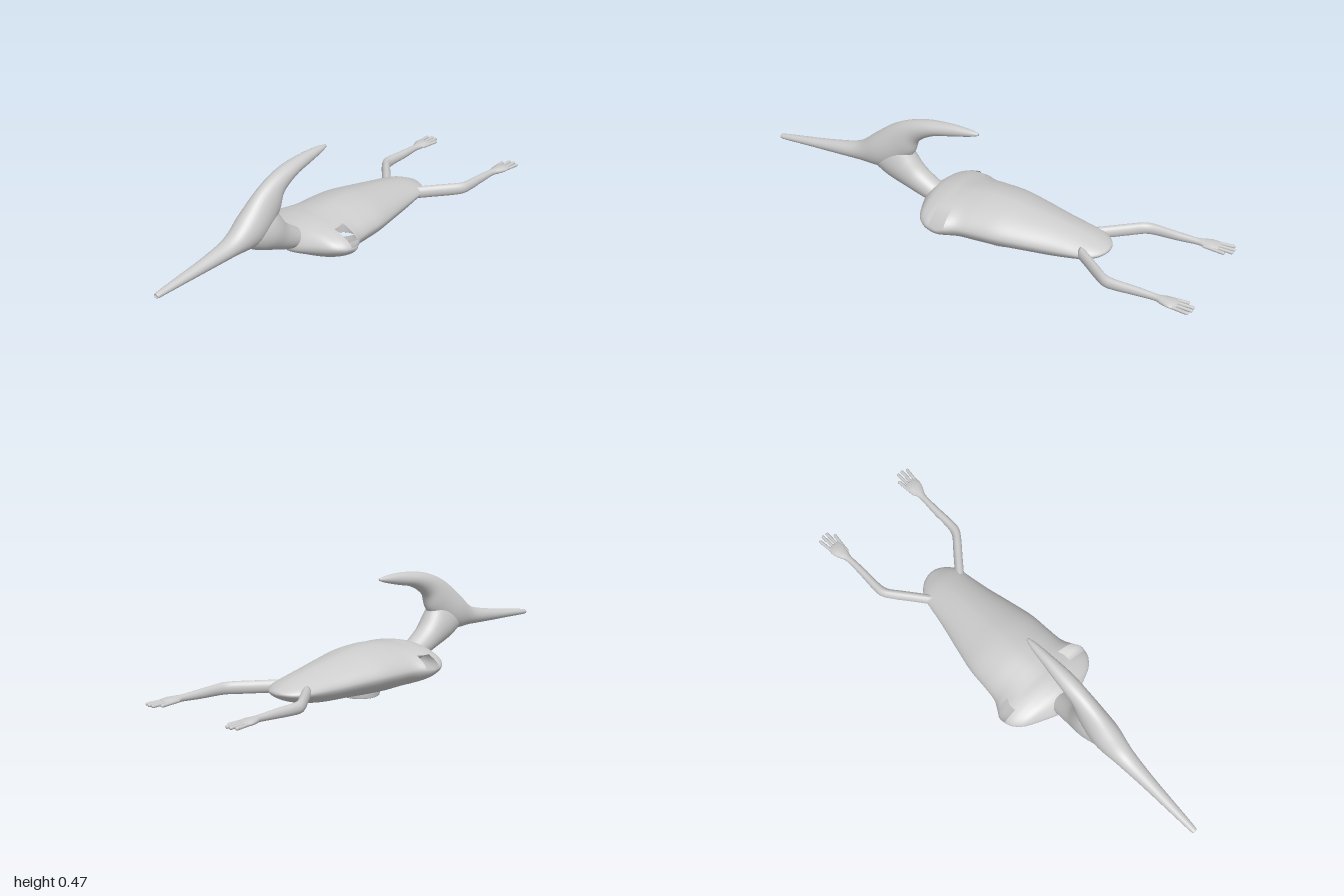
import * as THREE from 'three';

const grey = new THREE.MeshStandardMaterial({ color: 0xcccccc, side: THREE.DoubleSide });

function add(parent, name, geometry) {
  const mesh = new THREE.Mesh(geometry, grey);
  mesh.name = name;
  parent.add(mesh);
  return mesh;
}

// Smooth skin over stations [topX, topY, bottomX, bottomY, halfWidth, centreZ].
// power shapes the section (1 = ellipse, above 1 = lens); skip(x, y, z, j) leaves openings.
function loft(stations, { sides = 32, steps = 6, power = 1, skip = () => false } = {}) {
  const curve = (pick) => new THREE.CatmullRomCurve3(
    stations.map((s) => new THREE.Vector3(...pick(s))), false, 'catmullrom', 0.5);
  const tops = curve((s) => [s[0], s[1], s[4]]);
  const bottoms = curve((s) => [s[2], s[3], s[5] || 0]);
  const rings = (stations.length - 1) * steps;
  const bend = (v) => Math.sign(v) * Math.abs(v) ** power;
  const pos = [], index = [];
  for (let i = 0; i <= rings; i++) {
    const a = tops.getPoint(i / rings), b = bottoms.getPoint(i / rings);
    for (let j = 0; j < sides; j++) {
      const t = (j / sides) * Math.PI * 2;
      const u = 0.5 + 0.5 * bend(Math.sin(t));
      pos.push(b.x + (a.x - b.x) * u, b.y + (a.y - b.y) * u, b.z + a.z * bend(Math.cos(t)));
    }
  }
  for (let i = 0; i < rings; i++) {
    for (let j = 0; j < sides; j++) {
      const p = i * sides + j, q = i * sides + (j + 1) % sides;
      const r = p + sides, s = q + sides;
      const mid = [0, 1, 2].map((k) => (pos[3 * p + k] + pos[3 * q + k] + pos[3 * r + k] + pos[3 * s + k]) / 4);
      if (!skip(...mid, j)) index.push(p, r, s, p, s, q);
    }
  }
  // Closed ends
  for (const end of [0, rings]) {
    const c = pos.length / 3, sum = [0, 0, 0];
    for (let j = 0; j < sides; j++) for (let k = 0; k < 3; k++) sum[k] += pos[3 * (end * sides + j) + k] / sides;
    pos.push(...sum);
    for (let j = 0; j < sides; j++) {
      const p = end * sides + j, q = end * sides + (j + 1) % sides;
      index.push(c, ...(end ? [q, p] : [p, q]));
    }
  }
  const g = new THREE.BufferGeometry();
  g.setAttribute('position', new THREE.Float32BufferAttribute(pos, 3));
  g.setIndex(index);
  g.computeVertexNormals();
  return g;
}

const RING_X = 0.08;

function buildBody(group) {
  const stations = [
    [-0.265, 0.12, -0.275, 0.1, 0.02], [-0.24, 0.155, -0.265, 0.075, 0.08],
    [-0.21, 0.175, -0.22, 0.055, 0.175], [-0.175, 0.185, -0.18, 0.037, 0.215],
    [-0.145, 0.19, -0.145, 0.026, 0.228], [-0.115, 0.192, -0.115, 0.02, 0.23],
    [-0.085, 0.196, -0.085, 0.014, 0.213], [-0.04, 0.202, -0.04, 0.009, 0.191],
    [0.03, 0.207, 0.03, 0.006, 0.183], [0.12, 0.203, 0.12, 0.01, 0.176],
    [0.22, 0.188, 0.22, 0.016, 0.155], [0.34, 0.168, 0.34, 0.022, 0.127],
    [0.43, 0.15, 0.43, 0.036, 0.11], [0.49, 0.134, 0.49, 0.052, 0.098],
    [0.53, 0.118, 0.53, 0.068, 0.07], [0.553, 0.107, 0.553, 0.083, 0.035],
    [0.56, 0.098, 0.56, 0.092, 0.006],
  ];
  // Wing sockets in the shoulders and a round opening in the belly
  const skip = (x, y, z, j) => {
    const socket = x > -0.145 && x < -0.085 && ((j >= 1 && j < 9) || (j >= 25 && j < 31));
    return socket || (y < 0.06 && Math.hypot(x - RING_X, z) < 0.062);
  };
  add(group, 'body', loft(stations, { sides: 64, power: 1.15, skip }));

  // Rim around the belly opening
  const rim = [[0.054, 0.035], [0.054, 0.002], [0.056, 0], [0.074, 0], [0.079, 0.004], [0.08, 0.03]];
  add(group, 'bellyRim', new THREE.LatheGeometry(rim.map((p) => new THREE.Vector2(...p)), 40))
    .position.x = RING_X;
}

function buildHead(group) {
  // Beak running back through the skull into the crest
  add(group, 'beakAndCrest', loft([
    [-1, 0.18, -1, 0.172, 0.006], [-0.992, 0.188, -0.992, 0.166, 0.013],
    [-0.87, 0.208, -0.87, 0.171, 0.021], [-0.74, 0.23, -0.74, 0.176, 0.029],
    [-0.61, 0.262, -0.6, 0.183, 0.042], [-0.527, 0.326, -0.46, 0.19, 0.058],
    [-0.45, 0.387, -0.345, 0.275, 0.05], [-0.37, 0.43, -0.312, 0.35, 0.041],
    [-0.28, 0.457, -0.235, 0.399, 0.036], [-0.17, 0.47, -0.15, 0.42, 0.026],
    [-0.08, 0.469, -0.075, 0.439, 0.016], [-0.037, 0.463, -0.037, 0.452, 0.006],
  ]));
  add(group, 'neck', loft([
    [-0.4, 0.34, -0.58, 0.2, 0.03], [-0.36, 0.31, -0.525, 0.187, 0.054],
    [-0.335, 0.27, -0.455, 0.154, 0.063], [-0.297, 0.22, -0.366, 0.122, 0.056],
    [-0.235, 0.175, -0.285, 0.094, 0.05], [-0.17, 0.14, -0.21, 0.08, 0.045],
  ]));
}

function buildLeg(group, side, name) {
  const leg = new THREE.Group();
  leg.name = name;
  group.add(leg);
  // [x, centre y, half height, half width, z]
  const path = [
    [0.46, 0.096, 0.026, 0.024, 0.075], [0.52, 0.096, 0.026, 0.024, 0.122],
    [0.58, 0.096, 0.026, 0.024, 0.17], [0.625, 0.096, 0.025, 0.021, 0.202],
    [0.67, 0.096, 0.023, 0.018, 0.21], [0.76, 0.097, 0.019, 0.016, 0.209],
    [0.84, 0.098, 0.014, 0.014, 0.211], [0.875, 0.098, 0.014, 0.024, 0.215],
    [0.905, 0.098, 0.013, 0.032, 0.217], [0.93, 0.097, 0.009, 0.03, 0.217],
    [0.937, 0.097, 0.004, 0.024, 0.217],
  ];
  add(leg, 'limb', loft(path.map(([x, y, h, w, z]) => [x, y + h, x, y - h, w, z * side]), { sides: 20 }));

  // Toes: [root x, root z, tip x, tip z]
  const toes = [[0.88, 0.192, 0.965, 0.184], [0.91, 0.205, 0.993, 0.204],
    [0.91, 0.222, 0.994, 0.225], [0.9, 0.238, 0.985, 0.247]];
  for (const [x0, z0, x1, z1] of toes) {
    const from = new THREE.Vector3(x0, 0.097, z0 * side), to = new THREE.Vector3(x1, 0.096, z1 * side);
    const toe = add(leg, 'toe', new THREE.CapsuleGeometry(0.007, from.distanceTo(to), 4, 10));
    toe.position.copy(from).lerp(to, 0.5);
    toe.quaternion.setFromUnitVectors(new THREE.Vector3(0, 1, 0), to.sub(from).normalize());
  }
}

export function createModel() {
  const group = new THREE.Group();
  group.name = 'flyingReptile';
  buildBody(group);
  buildHead(group);
  buildLeg(group, 1, 'leftLeg');
  buildLeg(group, -1, 'rightLeg');
  return group;
}
